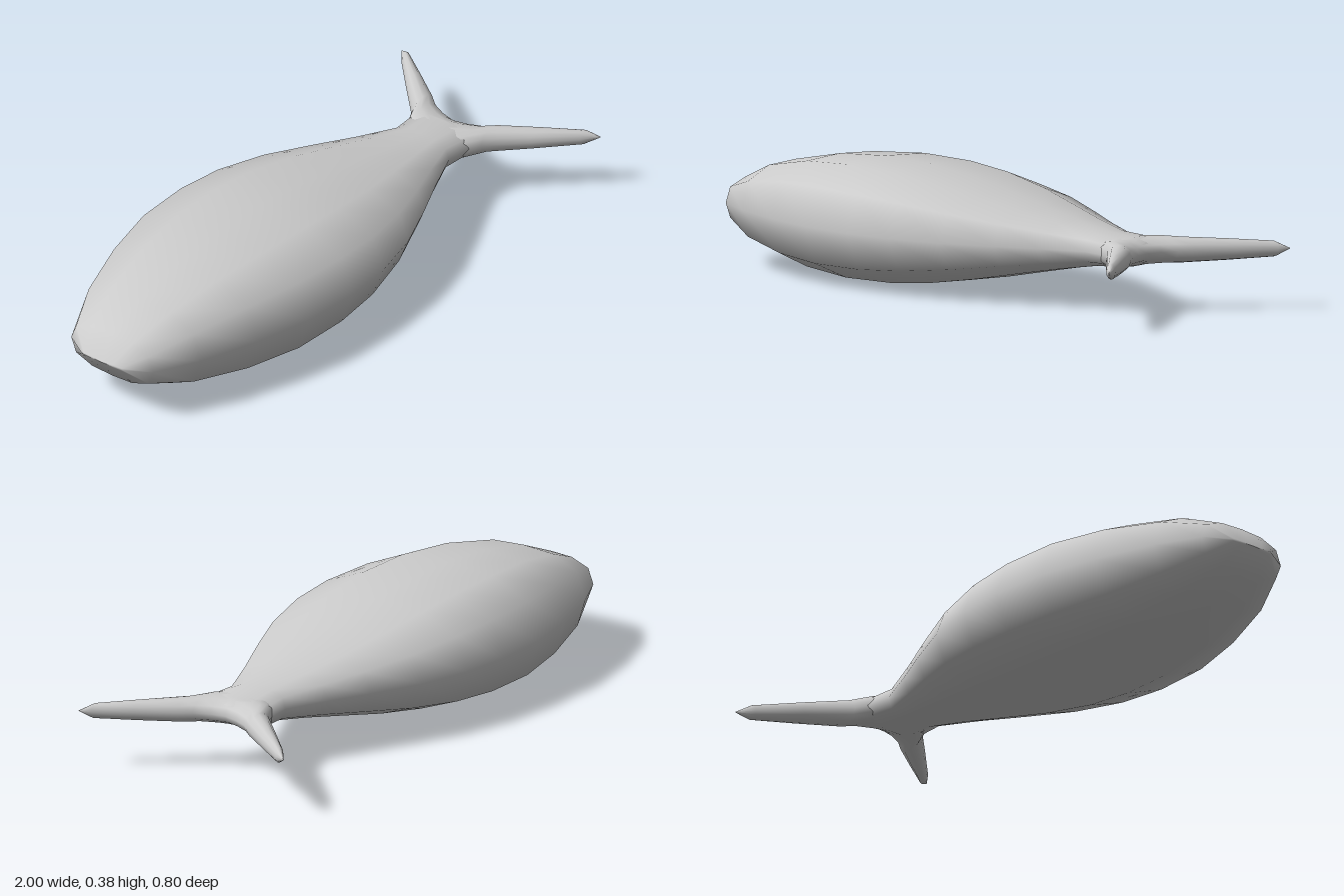
import * as THREE from 'three';

const MID = 0.192; // height of the fish's mid-plane, lying on its side
const material = new THREE.MeshStandardMaterial({ color: 0xcccccc });

// Skin a list of closed rings (each an array of [x, y, z]) with smooth normals
function loft(name, rings) {
  const n = rings[0].length;
  const index = [];
  for (let i = 0; i < rings.length - 1; i++) {
    for (let j = 0; j < n; j++) {
      const k = (j + 1) % n;
      const a = i * n + j, b = i * n + k, c = a + n, d = b + n;
      index.push(a, c, b, b, c, d);
    }
  }
  const geometry = new THREE.BufferGeometry();
  geometry.setAttribute('position', new THREE.Float32BufferAttribute(rings.flat(2), 3));
  geometry.setIndex(index);
  geometry.computeVertexNormals();
  const mesh = new THREE.Mesh(geometry, material);
  mesh.name = name;
  return mesh;
}

// Twelve-sided, slightly squared-off body section, mirrored from one quarter
const quarter = [[1, 0], [0.88, 0.64], [0.49, 0.95]];
const section = [];
for (let q = 0; q < 4; q++) {
  for (let i = 0; i < 3; i++) {
    if (q % 2 === 0) {
      const s = q === 0 ? 1 : -1;
      section.push([quarter[i][0] * s, quarter[i][1] * s]);
    } else {
      const s = q === 1 ? 1 : -1;
      const [z, y] = i === 0 ? [0, 1] : quarter[3 - i];
      section.push([-z * s, y * s]);
    }
  }
}

// Body stations: x, half width (z), half height (y)
const bodyStations = [
  [-1, 0, 0], [-0.995, 0.085, 0.006], [-0.945, 0.165, 0.077],
  [-0.8, 0.24, 0.137], [-0.6, 0.307, 0.176], [-0.4, 0.355, 0.189],
  [-0.2, 0.367, 0.184], [-0.03, 0.354, 0.167], [0.15, 0.31, 0.137],
  [0.32, 0.238, 0.103], [0.46, 0.172, 0.076], [0.6, 0.112, 0.053],
  [0.71, 0.125, 0.046], [0.75, 0.06, 0.03], [0.76, 0, 0],
];

// Tail half: z, leading x, trailing x, half thickness
const tailStations = [
  [0, 0.58, 0.77, 0.046], [0.05, 0.6, 0.782, 0.046], [0.1, 0.64, 0.805, 0.044],
  [0.14, 0.725, 0.836, 0.041], [0.25, 0.835, 0.913, 0.034],
  [0.36, 0.947, 0.988, 0.025], [0.4, 0.998, 1, 0.001],
];

export function createModel() {
  const group = new THREE.Group();
  group.name = 'fish';

  group.add(loft('body', bodyStations.map(([x, w, h]) =>
    section.map(([z, y]) => [x, MID + y * h, z * w]))));

  // Forked tail, lofted from one fin tip to the other
  const mirrored = tailStations.slice(1).reverse().map(([z, ...rest]) => [-z, ...rest]);
  const tail = [...mirrored, ...tailStations].map(([z, x0, x1, h]) =>
    Array.from({ length: 12 }, (_, j) => {
      const t = (j / 12) * Math.PI * 2;
      return [(x0 + x1) / 2 - Math.cos(t) * (x1 - x0) / 2, MID + Math.sin(t) * h, z];
    }));
  group.add(loft('tailFin', tail));

  return group;
}
